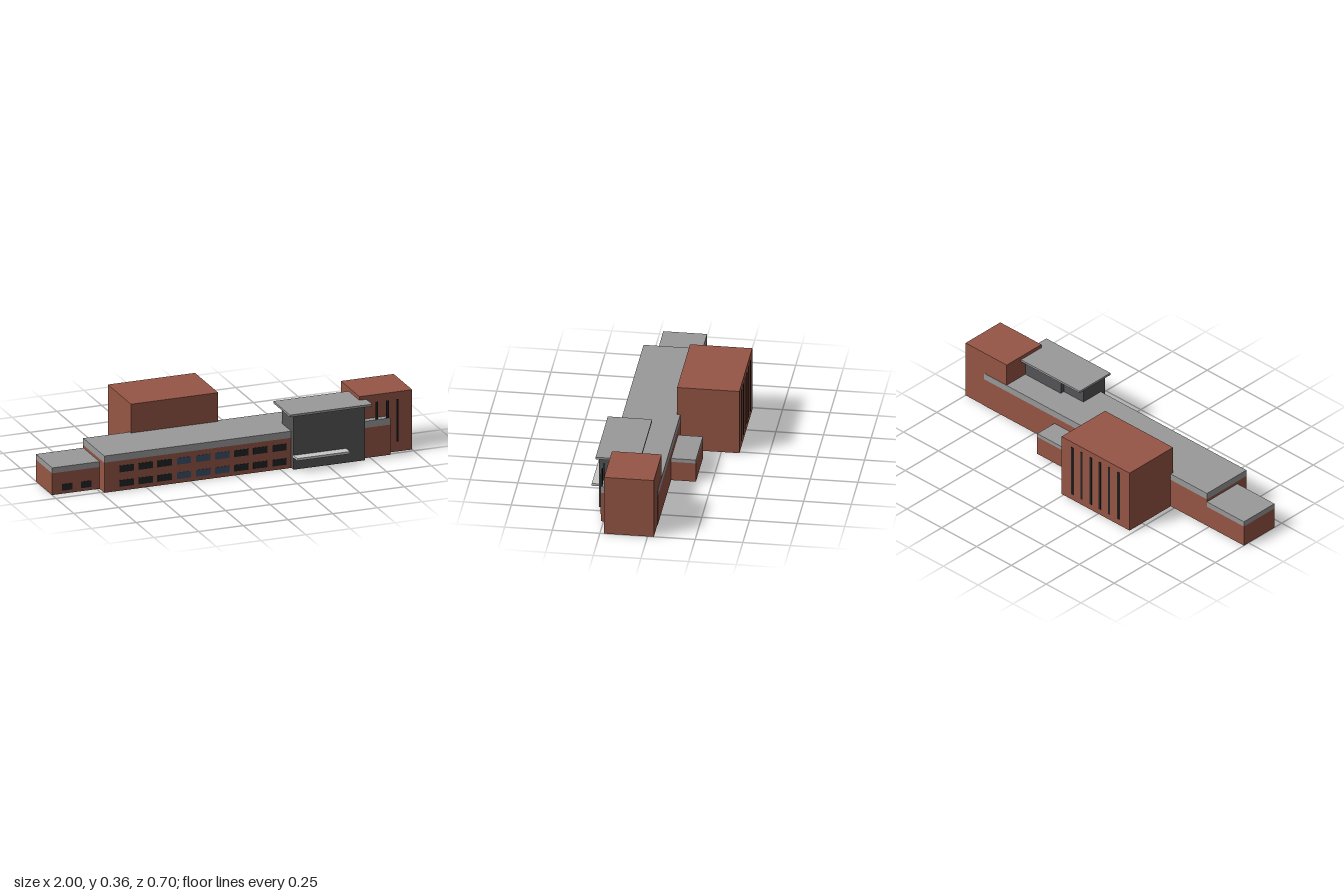
import * as THREE from 'three';

export function createModel() {
  const model = new THREE.Group();
  model.name = 'building';

  const material = (name, color) => {
    const m = new THREE.MeshStandardMaterial({ color });
    m.name = name;
    return m;
  };
  const brick = material('brick', 0x965645);
  const roofGrey = material('roof grey', 0x9a9a9a);
  const darkPanel = material('dark panel', 0x555557);
  const paleMetal = material('pale metal', 0xc8c8c8);
  const darkGlass = material('dark glass', 0x202224);
  const blueGlass = material('blue glass', 0x3a5068);

  // Box given by its extents on each axis
  const block = (name, mat, [x0, x1], [y0, y1], [z0, z1], parent = model) => {
    const mesh = new THREE.Mesh(new THREE.BoxGeometry(x1 - x0, y1 - y0, z1 - z0), mat);
    mesh.position.set((x0 + x1) / 2, (y0 + y1) / 2, (z0 + z1) / 2);
    mesh.name = name;
    parent.add(mesh);
    return mesh;
  };

  // Brick volume topped by a flat grey roof band
  const wing = (name, x, z, wallTop, roofTop) => {
    const group = new THREE.Group();
    group.name = name;
    block(name + 'Walls', brick, x, [0, wallTop], z, group);
    block(name + 'Roof', roofGrey, x, [wallTop, roofTop], z, group);
    model.add(group);
  };
  wing('mainWing', [-0.735, 0.865], [-0.035, 0.262], 0.166, 0.203);
  wing('lowWing', [-1, -0.735], [-0.035, 0.195], 0.12, 0.15);
  wing('rearAnnex', [0.095, 0.36], [-0.165, -0.035], 0.107, 0.127);

  // Tall brick volumes
  block('rearHall', brick, [-0.475, 0.013], [0, 0.362], [-0.345, -0.018]);
  block('endTower', brick, [0.705, 1], [0, 0.33], [-0.033, 0.228]);

  // Entrance block with stepped back, overhanging roof and canopy
  block('entranceBlock', darkPanel, [0.31, 0.71], [0.001, 0.298], [0.13, 0.295]);
  block('entranceBackStep', darkPanel, [0.45, 0.708], [0.1, 0.298], [0.107, 0.2]);
  block('entranceRoof', roofGrey, [0.285, 0.745], [0.298, 0.31], [0.075, 0.308]);
  block('entranceCanopy', paleMetal, [0.31, 0.605], [0.067, 0.08], [0.29, 0.348]);

  // Two rows of front windows, the middle three blue
  for (const y of [0.022, 0.102]) {
    for (let i = 0; i < 9; i++) {
      const x = -0.61 + i * 0.1068;
      const glass = i >= 3 && i <= 5 ? blueGlass : darkGlass;
      block('frontWindow', glass, [x - 0.04, x + 0.04], [y, y + 0.036], [0.26, 0.264]);
    }
  }

  // Low wing windows
  for (const x of [-0.917, -0.81]) {
    block('lowWingWindow', darkGlass, [x - 0.029, x + 0.029], [0.017, 0.053], [0.193, 0.197]);
  }

  // Slit fins standing before the tower
  for (const [x, w] of [[0.79, 0.015], [0.849, 0.015], [0.906, 0.009]]) {
    block('towerSlit', darkGlass, [x - w / 2, x + w / 2], [0.067, 0.3], [0.257, 0.2605]);
  }

  // Slit windows on the back of the hall
  for (let i = 0; i < 6; i++) {
    const x = -0.065 - i * 0.066;
    block('hallSlit', darkGlass, [x - 0.007, x + 0.007], [0.035, 0.33], [-0.348, -0.344]);
  }

  return model;
}
